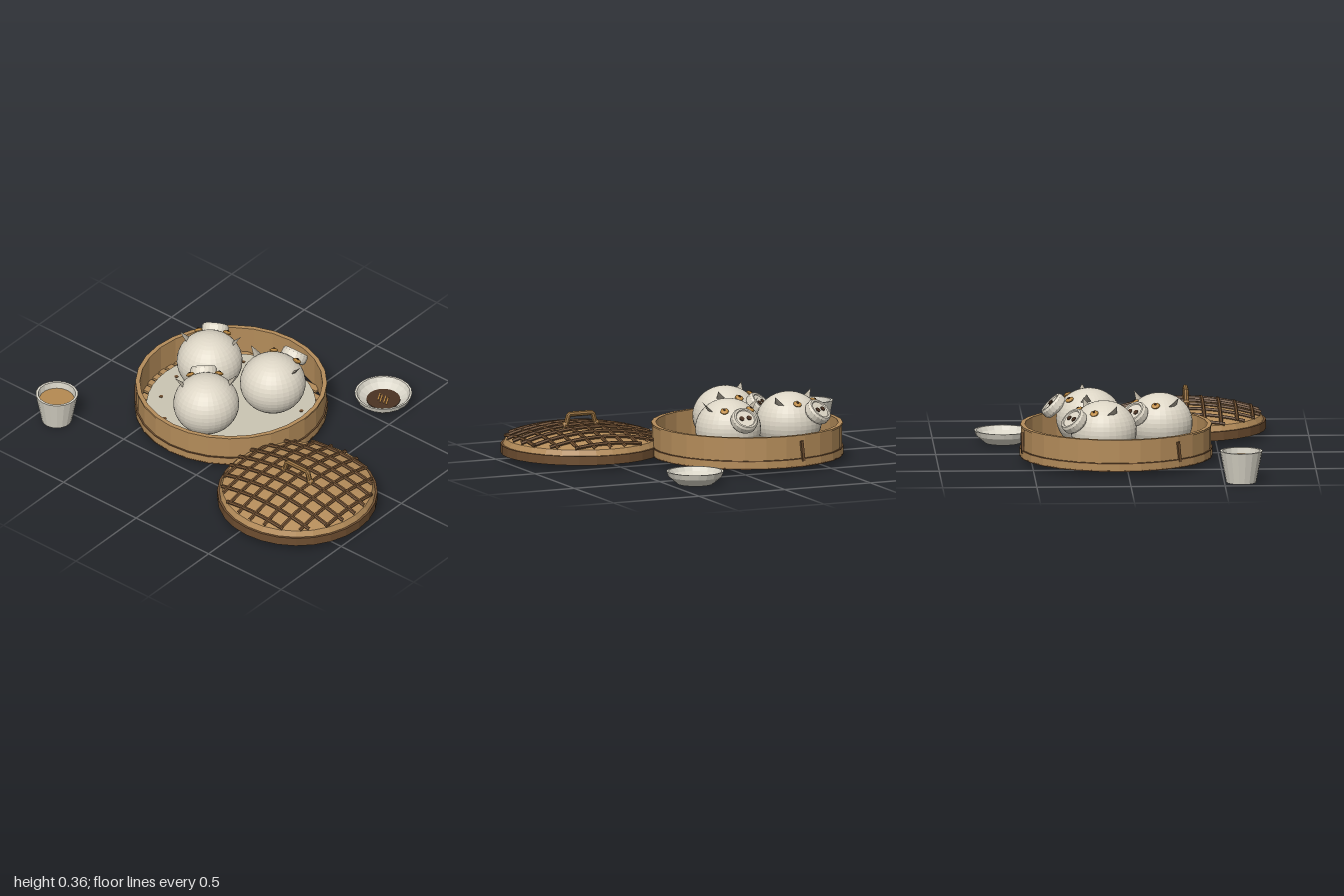
import * as THREE from 'three';

const mat = (name, color) => {
  const m = new THREE.MeshStandardMaterial({ color, flatShading: true });
  m.name = name;
  return m;
};

export function createModel() {
  const bamboo = mat('bamboo', 0xb48c5a);
  const darkBamboo = mat('darkBamboo', 0x6e4e30);
  const handleWood = mat('handleWood', 0x98713f);
  const dough = mat('dough', 0xddd6c6);
  const earDough = mat('earDough', 0xb0a898);
  const paper = mat('paper', 0xcbc5b3);
  const porcelain = mat('porcelain', 0xd9d5c8);
  const sauceBrown = mat('sauceBrown', 0x4a3222);
  const gold = mat('gold', 0xc08c42);
  const tea = mat('tea', 0xb58a52);

  const model = new THREE.Group();
  const group = (name, x, y, z, parent = model) => {
    const g = new THREE.Group();
    g.name = name;
    g.position.set(x, y, z);
    parent.add(g);
    return g;
  };
  const add = (parent, name, geo, material, x = 0, y = 0, z = 0) => {
    const m = new THREE.Mesh(geo, material);
    m.name = name;
    m.position.set(x, y, z);
    parent.add(m);
    return m;
  };
  const lathe = (pts, seg) => new THREE.LatheGeometry(pts.map(p => new THREE.Vector2(...p)), seg);
  // closed hoop with a rectangular section
  const hoop = (r0, r1, y0, y1, seg = 28) =>
    lathe([[r0, y0], [r1, y0], [r1, y1], [r0, y1], [r0, y0]], seg);
  const disc = (r, h, seg) => new THREE.CylinderGeometry(r, r, h, seg);

  // steamer basket
  const basket = group('basket', -0.215, 0, -0.05);
  add(basket, 'basketWall', hoop(0.485, 0.505, 0.03, 0.2), bamboo);
  add(basket, 'lowerBand', hoop(0.5, 0.512, 0.035, 0.07), bamboo);
  for (const y of [0.03, 0.07]) add(basket, 'bandEdge', hoop(0.5, 0.513, y, y + 0.006), darkBamboo);
  add(basket, 'rimEdge', hoop(0.5, 0.509, 0.19, 0.2), bamboo);

  // floor slats
  for (let i = -7; i <= 7; i++) {
    const z = i * 0.0575;
    const len = 2 * Math.sqrt(0.487 ** 2 - (Math.abs(z) + 0.005) ** 2);
    add(basket, 'floorSlat', new THREE.BoxGeometry(len, 0.014, 0.042), bamboo, 0, 0.041, z);
  }

  // perforated liner
  add(basket, 'liner', disc(0.45, 0.006, 40), paper, 0, 0.053, 0);
  for (let i = 0; i < 12; i++) {
    const a = i * Math.PI / 6;
    add(basket, 'linerHole', disc(0.011, 0.003, 8), darkBamboo, 0.378 * Math.cos(a), 0.057, 0.378 * Math.sin(a));
  }

  // lashings on the wall
  for (const [x, z] of [[-0.395, 0.32], [-0.095, -0.502]]) {
    const lash = group('lashing', x, 0.115, z, basket);
    lash.rotation.y = Math.atan2(x, z);
    add(lash, 'lashStrip', new THREE.BoxGeometry(0.016, 0.11, 0.012), darkBamboo).rotation.z = 0.12;
  }

  // pig-faced buns, facing local +z
  const bun = (x, z, dx, dz) => {
    const b = group('bun', x, 0.2, z);
    b.rotation.y = Math.atan2(dx, dz);
    add(b, 'bunBody', new THREE.SphereGeometry(0.175, 32, 22), dough).scale.y = 0.915;

    const snout = group('snout', 0, 0.072, 0.192, b);
    snout.rotation.x = Math.PI / 4;
    add(snout, 'snoutPad', lathe([[0, -0.035], [0.062, -0.035], [0.072, -0.02], [0.072, 0.01],
      [0.064, 0.022], [0.054, 0.022], [0.05, 0.016], [0, 0.016]], 20), dough);
    for (const s of [-1, 1]) {
      add(snout, 'nostril', disc(0.014, 0.005, 10), sauceBrown, s * 0.022, 0.018, 0);

      // eyes lie on the body, ears lean outward
      const eye = group('eye', s * 0.077, 0.113, 0.11, b);
      eye.quaternion.setFromUnitVectors(new THREE.Vector3(0, 1, 0),
        new THREE.Vector3(s * 0.25, 0.85, 0.4).normalize());
      const ball = add(eye, 'eyeBall', new THREE.SphereGeometry(0.023, 12, 8), gold);
      ball.scale.y = 0.45;
      add(eye, 'pupil', disc(0.007, 0.004, 8), sauceBrown, 0, 0.011, 0);

      const ear = add(b, 'ear', new THREE.ConeGeometry(0.036, 0.085, 4), earDough, s * 0.138, 0.125, 0.025);
      ear.scale.x = 0.25;
      ear.rotation.z = -s * 0.72;
    }
  };
  bun(-0.425, -0.123, -0.51, -0.86);
  bun(-0.042, -0.187, -0.04, -1);
  bun(-0.195, 0.182, -0.69, -0.72);

  // lid: rim, dome and lattice
  const lid = group('lid', 0.573, 0, 0.35);
  const domeY = r => 0.175 - 0.065 * (r / 0.4) ** 2;
  const dome = [[0, 0.037], [0.41, 0.037], [0.415, 0.078]];
  for (let i = 8; i >= 0; i--) dome.push([i * 0.05, domeY(i * 0.05)]);
  add(lid, 'lidDome', lathe(dome, 28), bamboo);
  add(lid, 'lidRim', hoop(0.4, 0.426, 0.032, 0.08), darkBamboo);
  for (let i = -4; i <= 4; i++) {
    const o = i * 0.0875;
    const half = Math.sqrt(0.4 ** 2 - o * o);
    for (const along of ['x', 'z']) {
      const pts = [];
      for (let k = -5; k <= 5; k++) {
        const t = half * k / 5;
        const y = domeY(Math.hypot(t, o)) + (along === 'x' ? 0.008 : 0.004);
        pts.push(along === 'x' ? new THREE.Vector3(t, y, o) : new THREE.Vector3(o, y, t));
      }
      add(lid, 'latticeStrip', new THREE.TubeGeometry(new THREE.CatmullRomCurve3(pts), 16, 0.0105, 6), darkBamboo);
    }
  }

  // lid handle
  const path = new THREE.CurvePath();
  const hp = [[-0.09, 0.17], [-0.07, 0.24], [0.07, 0.24], [0.09, 0.17]].map(p => new THREE.Vector3(p[0], p[1], 0));
  for (let i = 0; i < 3; i++) path.add(new THREE.LineCurve3(hp[i], hp[i + 1]));
  add(lid, 'handle', new THREE.TubeGeometry(path, 30, 0.014, 8), handleWood);
  for (const s of [-1, 1]) add(lid, 'handleFoot', new THREE.SphereGeometry(0.019, 10, 8), handleWood, s * 0.09, 0.182, 0);

  // tea cup
  const cup = group('cup', -0.887, 0, 0.59);
  add(cup, 'cupBody', lathe([[0, 0], [0.08, 0], [0.113, 0.17], [0.1, 0.17], [0.075, 0.02], [0, 0.02]], 18), porcelain);
  add(cup, 'teaSurface', disc(0.092, 0.004, 18), tea, 0, 0.135, 0);

  // sauce dish with ginger shreds
  const dish = group('sauceDish', 0.353, 0, -0.63);
  add(dish, 'dishBody', lathe([[0, 0], [0.095, 0], [0.143, 0.04], [0.153, 0.068], [0.142, 0.068],
    [0.128, 0.045], [0.085, 0.018], [0, 0.018]], 20), porcelain);
  add(dish, 'sauce', disc(0.09, 0.004, 20), sauceBrown, 0, 0.024, 0);
  for (let i = 0; i < 4; i++) {
    add(dish, 'gingerShred', new THREE.BoxGeometry(0.006, 0.005, 0.06), gold, -0.03 + i * 0.02, 0.027, 0.005 * (i % 2)).rotation.y = 0.5;
  }

  return model;
}
